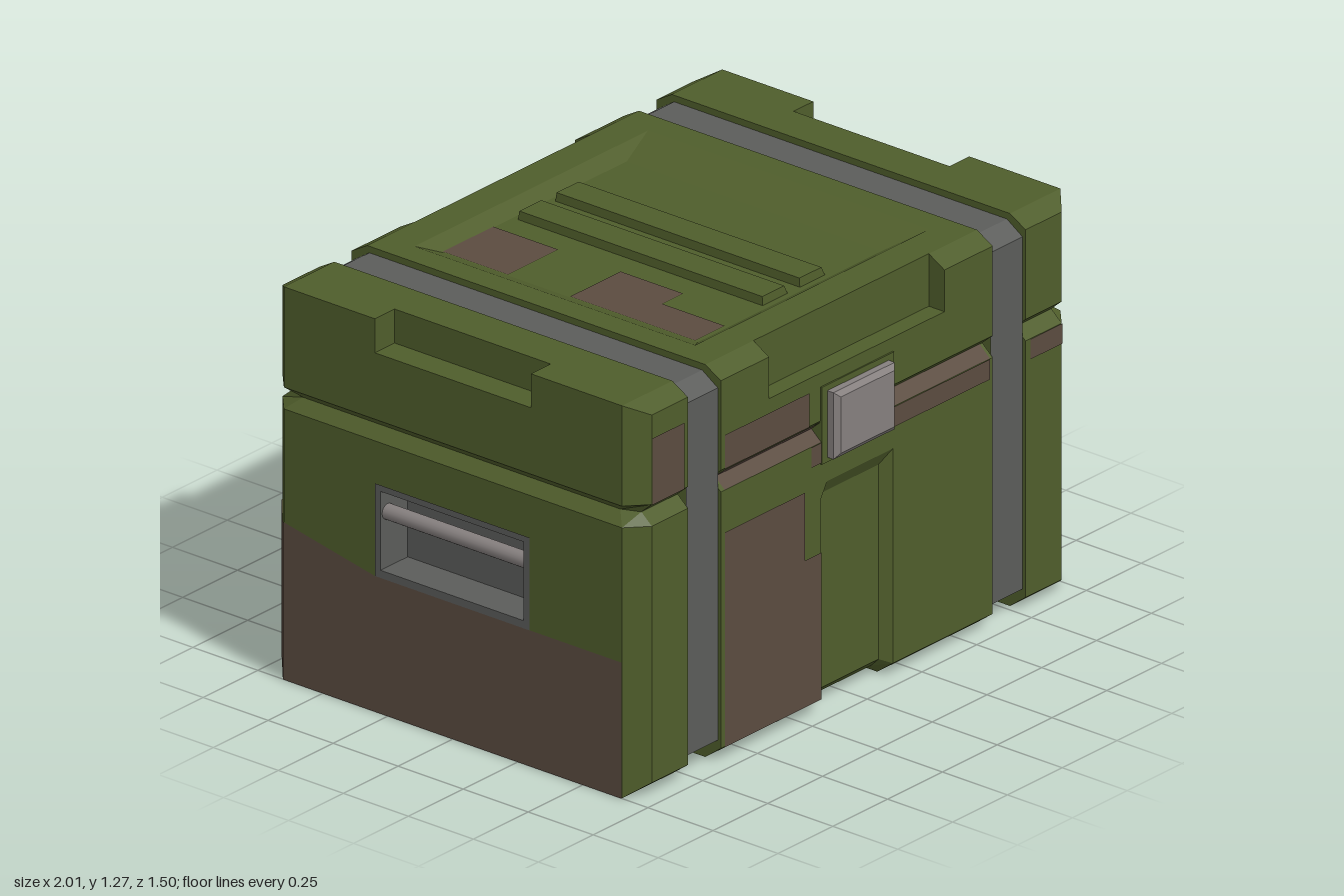
import * as THREE from 'three';

const mat = (name, color) => {
  const m = new THREE.MeshStandardMaterial({ color, side: THREE.DoubleSide });
  m.name = name;
  return m;
};

// Flat-shaded geometry from a list of 3- or 4-corner (or fan) faces
function facesGeometry(faces) {
  const pos = [];
  const v = (p) => new THREE.Vector3(...p);
  for (const f of faces) {
    for (let i = 1; i < f.length - 1; i++) {
      const area = v(f[1 * i]).sub(v(f[0])).cross(v(f[i + 1]).sub(v(f[0]))).length();
      if (area > 1e-7) pos.push(...f[0], ...f[i], ...f[i + 1]);
    }
  }
  const g = new THREE.BufferGeometry();
  g.setAttribute('position', new THREE.Float32BufferAttribute(pos, 3));
  g.computeVertexNormals();
  return g;
}

// Side faces between successive closed rings, leaving out one facet if asked
function loft(rings, skip = -1) {
  const faces = [];
  for (let r = 0; r < rings.length - 1; r++) {
    const a = rings[r], b = rings[r + 1], n = a.length;
    for (let i = 0; i < n; i++) {
      const j = (i + 1) % n;
      if (i !== skip) faces.push([a[i], a[j], b[j], b[i]]);
    }
  }
  return faces;
}

// Half cross-section [z, y], bottom to top: chamfers, panel edge, seam groove, lid
const HALF = [[0.65, 0], [0.71, 0.045], [0.71, 0.69], [0.71, 0.74], [0.71, 0.875],
  [0.67, 0.91], [0.71, 0.945], [0.71, 1.1], [0.71, 1.235], [0.65, 1.27]];
const TOP = HALF.length - 1;

const ringAt = (x, half) => [
  ...half.map(([z, y, px = x]) => [px, y, z]),
  ...[...half].reverse().map(([z, y, px = x]) => [px, y, -z]),
];

// Closes a ring with strips between its front and back points
function capStrips(ring, from = 0, to = ring.length / 2 - 1) {
  const n = ring.length, faces = [];
  for (let i = from; i < to; i++) faces.push([ring[i], ring[i + 1], ring[n - 2 - i], ring[n - 1 - i]]);
  return faces;
}

const rectTop = (x0, x1, z0, z1, y) => [[x0, y, z0], [x0, y, z1], [x1, y, z1], [x1, y, z0]];
const rectEnd = (x, y0, y1, z0, z1) => [[x, y0, z0], [x, y1, z0], [x, y1, z1], [x, y0, z1]];
const rectFront = (x0, x1, y0, y1, z) => [[x0, y0, z], [x1, y0, z], [x1, y1, z], [x0, y1, z]];

// Middle section with lid notches, lower panel recess and sunken top
function middleGeometry() {
  const notch = HALF.map((p, i) => (i === 8 ? [0.65, 1.1] : p));
  const recess = notch.map((p, i) => [[0.65, 0.03], [0.68, 0.06], [0.68, 0.69]][i] || p);
  const rings = [[-0.62, HALF], [-0.4, HALF], [-0.4, notch], [-0.165, notch], [-0.135, recess],
    [0.135, recess], [0.165, notch], [0.4, notch], [0.4, HALF], [0.62, HALF]]
    .map(([x, h]) => ringAt(x, h));
  const floor = rectTop(-0.465, 0.375, -0.49, 0.49, 1.24);
  const top = loft([rectTop(-0.62, 0.62, -0.65, 0.65, 1.27), rectTop(-0.535, 0.53, -0.54, 0.54, 1.27), floor]);
  return facesGeometry([...loft(rings, TOP), ...capStrips(rings[0]), ...capStrips(rings.at(-1)), ...top, floor]);
}

// End section (+x side) with grip notch in the lid and an opening for the handle
function endGeometry() {
  const outer = HALF.map(([z, y], i) => {
    if (i === 5) return [0.61, 0.91, 0.96];
    return [0.65, i === 1 ? 0 : i === 8 ? 1.27 : y];
  });
  const rings = [ringAt(0.77, HALF), ringAt(0.935, HALF), ringAt(1, outer)];
  const faces = [...loft(rings, TOP), ...capStrips(rings[0]), ...capStrips(rings[2], 4, 6)];
  // end wall around the handle opening
  faces.push(...loft([rectEnd(1, 0, 0.875, -0.65, 0.65), rectEnd(1, 0.465, 0.72, -0.275, 0.275)]));
  // lid end wall and top around the notch
  faces.push(rectEnd(1, 0.945, 1.16, -0.65, 0.65), rectTop(0.77, 0.91, -0.65, 0.65, 1.27));
  for (const s of [-1, 1]) {
    faces.push(rectEnd(1, 1.16, 1.27, s * 0.3, s * 0.65), rectTop(0.91, 1, s * 0.3, s * 0.65, 1.27));
    faces.push(rectFront(0.91, 1, 1.16, 1.27, s * 0.3));
  }
  faces.push(rectTop(0.91, 1, -0.3, 0.3, 1.16), rectEnd(0.91, 1.16, 1.27, -0.3, 0.3));
  return facesGeometry(faces);
}

export function createModel() {
  const green = mat('olive green', 0x4f5d2b);
  const brown = mat('camouflage brown', 0x5b4b40);
  const grey = mat('strap grey', 0x5b5c5a);
  const metal = mat('latch metal', 0x857f7e);

  const model = new THREE.Group();
  model.name = 'storageCrate';
  const add = (name, geometry, material, parent = model) => {
    const m = new THREE.Mesh(geometry, material);
    m.name = name;
    parent.add(m);
    return m;
  };
  const rectRing = (hx, y0, y1, z) => rectFront(-hx, hx, y0, y1, z);

  add('middleSection', middleGeometry(), green);

  // Raised ribs on the lid
  for (const x of [-0.088, 0.082]) {
    const rib = [rectTop(x - 0.057, x + 0.057, -0.47, 0.47, 1.24), rectTop(x - 0.055, x + 0.045, -0.467, 0.467, 1.268)];
    add('lidRib', facesGeometry([...loft(rib), rib[1]]), green);
  }

  // Ends and straps; the second side is the first turned half way round
  const strapHalf = [[0.64, 0.03], [0.7, 0.07], [0.7, 1.21], [0.64, 1.25]];
  for (const turn of [0, Math.PI]) {
    const side = new THREE.Group();
    side.name = turn ? 'rightEnd' : 'leftEnd';
    side.rotation.y = turn;
    model.add(side);
    add('endSection', endGeometry(), green, side);
    add('strap', facesGeometry(loft([ringAt(0.622, strapHalf), ringAt(0.768, strapHalf)])), grey, side);
    const mouth = rectEnd(1.004, 0.465, 0.72, -0.275, 0.275);
    const back = rectEnd(0.88, 0.465, 0.72, -0.275, 0.275);
    const rim = rectEnd(1.004, 0.44, 0.74, -0.297, 0.297);
    add('handleRecess', facesGeometry([...loft([rim, mouth, back]), back]), grey, side);
    const bar = add('handleBar', new THREE.CylinderGeometry(0.025, 0.025, 0.55, 16), metal, side);
    bar.rotation.x = Math.PI / 2;
    bar.position.set(0.972, 0.645, 0);
  }

  // Latches on front and back
  for (const turn of [0, Math.PI]) {
    const latch = new THREE.Group();
    latch.name = turn ? 'backLatch' : 'frontLatch';
    latch.rotation.y = turn;
    model.add(latch);
    const plate = add('latchPlate', new THREE.BoxGeometry(0.33, 0.25, 0.06), green, latch);
    plate.position.set(0, 0.93, 0.685);
    const rings = [rectRing(0.14, 0.82, 1.036, 0.71), rectRing(0.14, 0.82, 1.036, 0.738),
      rectRing(0.122, 0.838, 1.02, 0.752)];
    add('latchCover', facesGeometry([...loft(rings), rings[2]]), metal, latch);
  }

  // Camouflage patches: flat faces lifted slightly off the shell
  const center = new THREE.Vector3(0, 0.6, 0);
  const patch = (pts) => {
    const [a, b, c] = pts.map((p) => new THREE.Vector3(...p));
    const n = b.clone().sub(a).cross(c.sub(a)).normalize();
    if (n.dot(a.clone().sub(center)) < 0) n.negate();
    n.multiplyScalar(0.003);
    add('camouflagePatch', facesGeometry([pts.map((p) => [p[0] + n.x, p[1] + n.y, p[2] + n.z])]), brown);
  };
  const seam = (x0, x1, s, upper = true) => {
    const bevel = (y) => patch([[x0, y, s * 0.71], [x1, y, s * 0.71], [x1, 0.91, s * 0.67], [x0, 0.91, s * 0.67]]);
    bevel(0.875);
    if (upper) bevel(0.945);
  };

  // front: [x0, x1, y0, y1]
  for (const r of [[-0.935, -0.79, 0.945, 1.16], [-0.605, -0.22, 0.945, 1.055], [-0.605, -0.24, 0.045, 0.74],
    [-0.24, -0.165, 0.045, 0.52], [0.165, 0.605, 0.81, 0.875], [-0.21, -0.165, 0.81, 0.875],
    [0.79, 0.935, 0.81, 0.875]]) patch(rectFront(...r, 0.71));
  seam(-0.605, -0.165, 1);
  seam(0.165, 0.605, 1, false);
  // back
  for (const r of [[0.79, 0.935, 0.945, 1.14], [0.22, 0.605, 0.945, 1.055], [-0.605, -0.17, 0.64, 0.875],
    [-0.605, -0.26, 0.55, 0.64], [0.775, 0.935, 0.045, 0.54], [-0.935, -0.775, 0.045, 0.54]]) {
    patch(rectFront(...r, -0.71));
  }
  seam(0.165, 0.605, -1);
  seam(-0.605, -0.165, -1, false);
  // ends, with the chamfered back corners
  for (const [s, z] of [[1, 0.3], [-1, 0.65]]) {
    patch([[s, 0, z], [s, 0.44, z], [s, 0.44, -0.3], [s, 0.51, -0.65], [s, 0, -0.65]]);
    patch([[s, 0, -0.65], [s, 0.51, -0.65], [s * 0.935, 0.53, -0.71], [s * 0.935, 0.045, -0.71]]);
  }
  // lid top and underside
  patch(rectTop(-0.465, -0.235, -0.49, -0.24, 1.24));
  patch(rectTop(-0.465, -0.235, 0, 0.24, 1.24));
  patch(rectTop(-0.465, -0.33, 0.24, 0.48, 1.24));
  patch(rectTop(0.8, 1, -0.15, 0.3, 0.002));
  patch(rectTop(-0.97, -0.8, 0, 0.35, 0.002));

  return model;
}
